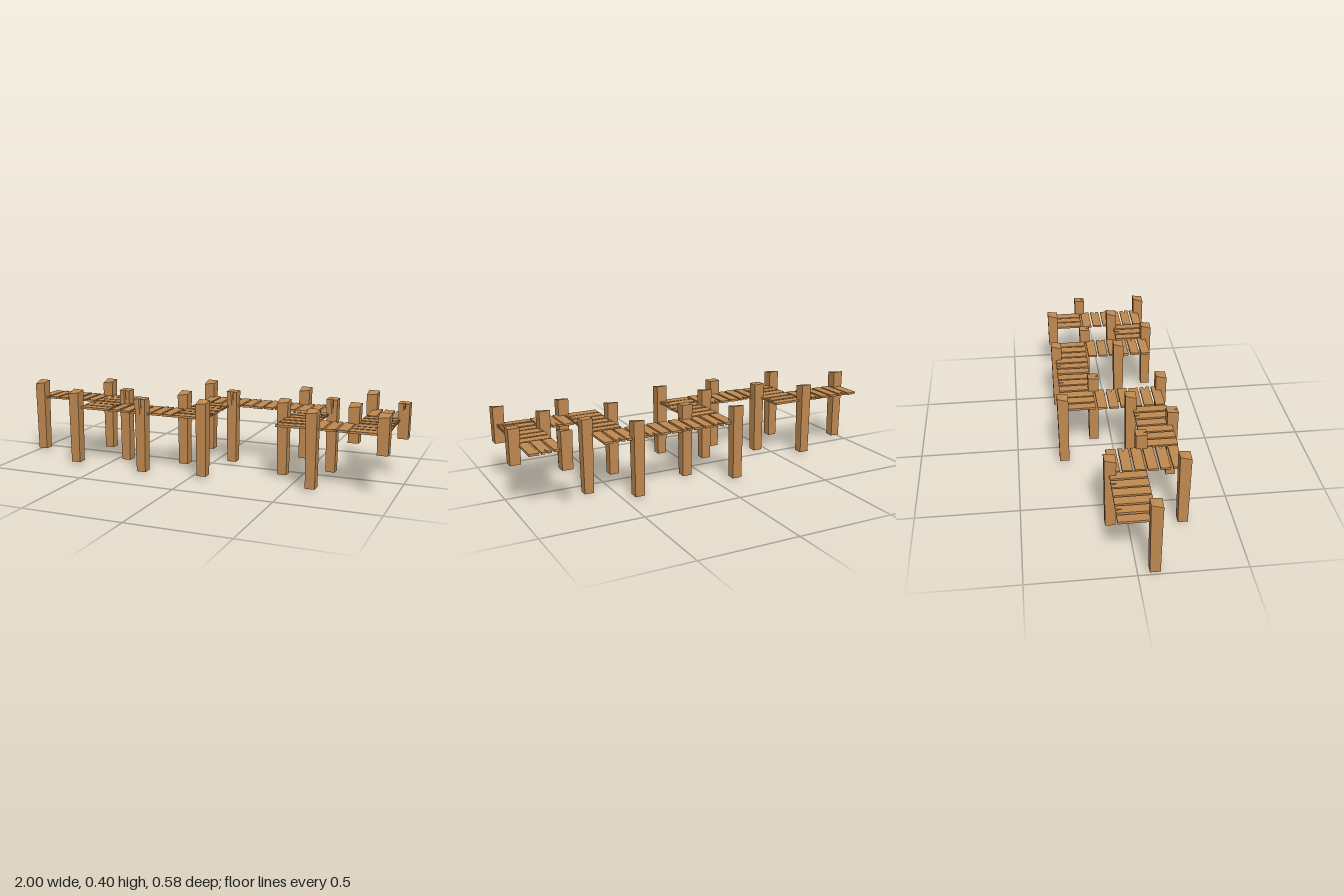
import * as THREE from 'three';

const TILE = 0.1765, PLANK_W = 0.049, PLANK_T = 0.011, DECK_Y = 0.2965;

// Small seeded generator for the hand-laid look
let seed = 7;
const jitter = (amount) => {
  seed = (seed * 16807) % 2147483647;
  return (seed / 2147483647 - 0.5) * 2 * amount;
};

const outline = (points) => new THREE.Shape(points.map(([x, y]) => new THREE.Vector2(x, y)));

// Plank lying along x, optionally with a V-shaped split in its +x end
function plankGeometry(split) {
  const l = TILE / 2 - 0.0015, w = PLANK_W / 2;
  const end = split ? [[l, -0.005], [l - 0.032, 0.001], [l, 0.006]] : [];
  const geo = new THREE.ExtrudeGeometry(
    outline([[-l, -w], [l, -w + 0.001], ...end, [l - 0.001, w], [-l + 0.002, w - 0.001]]),
    { depth: PLANK_T, bevelEnabled: false });
  geo.rotateX(-Math.PI / 2);
  geo.translate(0, -PLANK_T / 2, 0);
  return geo;
}

// Tapered post; corner heights give the rough cut top, split is a crack in the +z face
function postGeometry(bottom, top, split) {
  const r = 0.0275;
  const crack = split ? [[0.007, -r], [0, -r + 0.018], [-0.006, -r]] : [];
  const geo = new THREE.ExtrudeGeometry(
    outline([[-r, r], ...[...crack].reverse().reduce((a, p) => [...a, p], [[-r, -r]]), [r, -r], [r, r]]),
    { depth: 1, steps: 5, bevelEnabled: false });
  geo.rotateX(-Math.PI / 2);
  const p = geo.attributes.position;
  for (let i = 0; i < p.count; i++) {
    const x = p.getX(i), t = p.getY(i);
    let z = p.getZ(i);
    const u = (x + r) / (2 * r), v = (r - z) / (2 * r);
    const height = THREE.MathUtils.lerp(
      THREE.MathUtils.lerp(top[0], top[1], u),
      THREE.MathUtils.lerp(top[2], top[3], u), v);
    if (Math.abs(x) < 0.001 && t < 0.85) z = r;
    const y = t > 0.99 ? height : THREE.MathUtils.lerp(bottom, 0.37, t);
    const s = THREE.MathUtils.lerp(0.87, 1, (y - 0.01) / 0.37);
    p.setXYZ(i, x * s, y, z * s);
  }
  geo.computeVertexNormals();
  return geo;
}

export function createModel() {
  const model = new THREE.Group();
  model.name = 'boardwalk';
  const wood = new THREE.MeshStandardMaterial({ color: 0xc08a51 });
  wood.name = 'wood';
  wood.flatShading = true;

  const plain = plankGeometry(false), cracked = plankGeometry(true);

  // Deck runs: first tile centre x, z, number of tiles, run direction, planks across x or along x
  const runs = [
    [-0.905, -0.003, 2, 'x', 'z'],
    [-0.552, -0.003, 2, 'z', 'x'],
    [-0.375, 0.175, 2, 'x', 'z'],
    [-0.02, -0.003, 2, 'z', 'x'],
    [-0.02, -0.181, 4, 'x', 'z'],
    [0.514, -0.003, 2, 'z', 'x'],
    [0.691, 0.175, 1, 'x', 'z'],
    [0.868, -0.003, 2, 'z', 'x'],
    [0.868, -0.181, 1, 'x', 'z'],
  ];
  runs.forEach(([x0, z0, count, dir, grain], k) => {
    const deck = new THREE.Group();
    deck.name = `deck${k + 1}`;
    for (let i = 0; i < count; i++) {
      const tile = new THREE.Group();
      tile.name = 'deckTile';
      tile.position.set(x0 + (dir === 'x' ? i * TILE : 0), DECK_Y, z0 + (dir === 'z' ? i * TILE : 0));
      if (grain === 'z') tile.rotation.y = Math.PI / 2;
      for (let j = -1; j <= 1; j++) {
        const plank = new THREE.Mesh(j === 0 ? cracked : plain, wood);
        plank.name = 'plank';
        plank.position.set(0, jitter(0.001), j * TILE / 3);
        plank.rotation.set(jitter(0.04), jitter(0.01), jitter(0.006));
        tile.add(plank);
      }
      deck.add(tile);
    }
    model.add(deck);
  });

  // Posts: plain with a sloping top, or split; the far end stands on short ones
  const slopeTop = [0.371, 0.379, 0.388, 0.386];
  const splitTop = [0.375, 0.374, 0.377, 0.375];
  const raise = (top) => top.map((h) => h + 0.007);
  const kinds = {
    post: [postGeometry(0.01, slopeTop, false), [
      [-0.972, 0.077], [-0.642, -0.085], [-0.655, 0.256], [-0.12, 0.077], [0.055, 0.256],
      [-0.112, -0.262], [0.424, -0.262], [0.413, 0.077], [0.609, 0.256]]],
    splitPost: [postGeometry(0, splitTop, true), [
      [-0.45, 0.084], [-0.272, 0.262], [0.083, -0.092], [0.616, -0.092]]],
    shortPost: [postGeometry(0.206, raise(slopeTop), false), [
      [0.767, 0.077], [0.943, 0.256], [0.78, -0.262]]],
    shortSplitPost: [postGeometry(0.206, raise(splitTop), true), [[0.971, -0.093]]],
  };
  for (const [name, [geo, spots]] of Object.entries(kinds)) {
    for (const [x, z] of spots) {
      const post = new THREE.Mesh(geo, wood);
      post.name = name;
      post.position.set(x, 0, z);
      model.add(post);
    }
  }
  return model;
}
